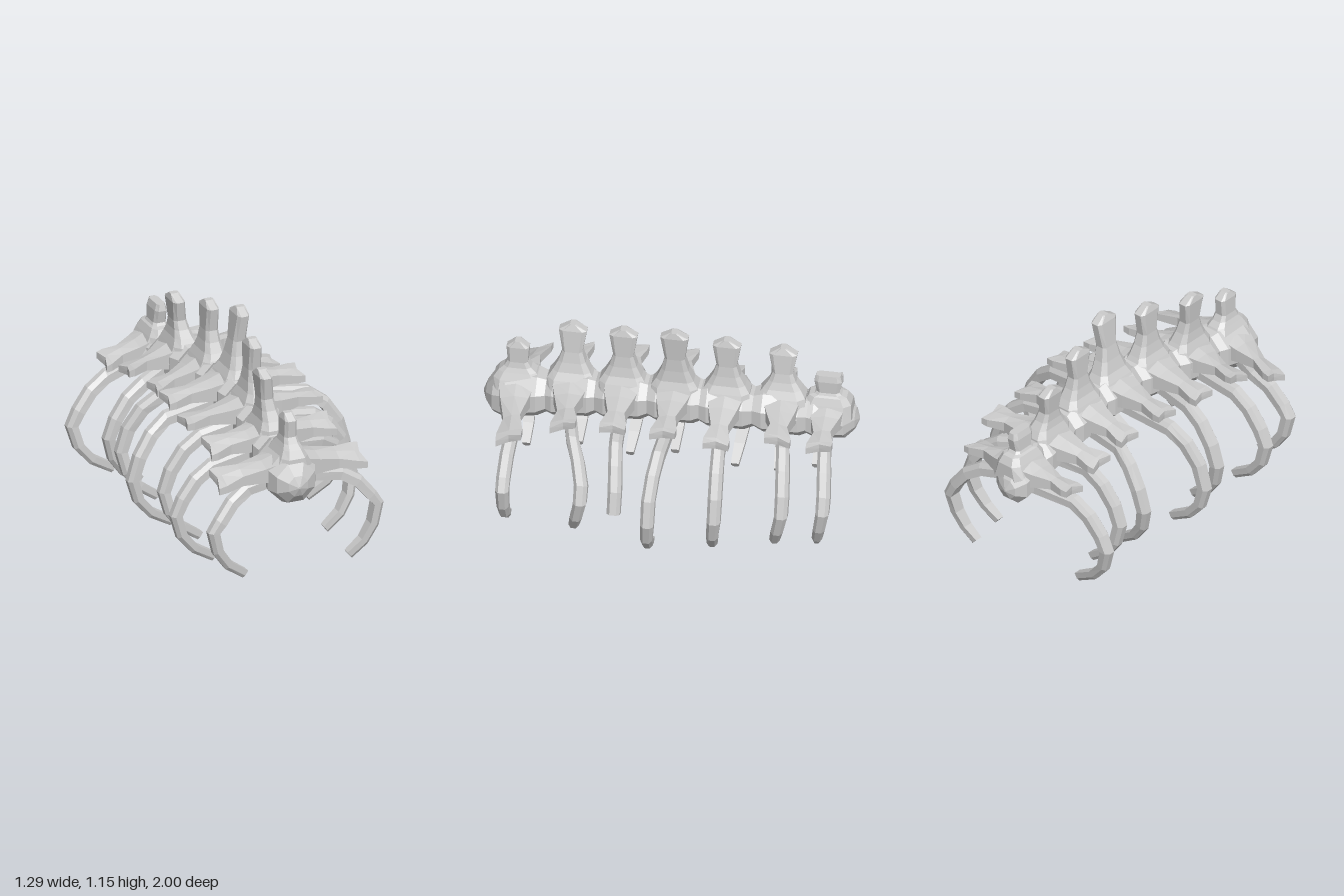
import * as THREE from 'three';

const material = new THREE.MeshStandardMaterial({ color: 0xcccccc, flatShading: true, side: THREE.DoubleSide });
const V = (x, y, z) => new THREE.Vector3(x, y, z);
const lerp = THREE.MathUtils.lerp;

// Skin between rings of points, with fan caps; faces always end up outward
function loft(name, rings, capPull = V(0, 0, 0)) {
  const pos = [];
  const tri = (a, b, c) => pos.push(...a.toArray(), ...b.toArray(), ...c.toArray());
  const n = rings[0].length;
  for (let i = 0; i < rings.length - 1; i++) {
    for (let j = 0; j < n; j++) {
      const k = (j + 1) % n;
      tri(rings[i][j], rings[i][k], rings[i + 1][k]);
      tri(rings[i][j], rings[i + 1][k], rings[i + 1][j]);
    }
  }
  const centre = (ring) => ring.reduce((s, p) => s.add(p), V(0, 0, 0)).divideScalar(n);
  const first = rings[0], last = rings[rings.length - 1];
  const c0 = centre(first), c1 = centre(last).add(capPull);
  for (let j = 0; j < n; j++) {
    const k = (j + 1) % n;
    tri(c0, first[k], first[j]);
    tri(c1, last[j], last[k]);
  }
  // Flip the winding when the signed volume is negative
  let volume = 0;
  for (let i = 0; i < pos.length; i += 9) {
    const [a, b, c] = [0, 3, 6].map((o) => V(pos[i + o], pos[i + o + 1], pos[i + o + 2]).sub(c0));
    volume += a.dot(b.cross(c));
  }
  if (volume < 0) {
    for (let i = 0; i < pos.length; i += 9) {
      for (let q = 0; q < 3; q++) [pos[i + 3 + q], pos[i + 6 + q]] = [pos[i + 6 + q], pos[i + 3 + q]];
    }
  }
  const geometry = new THREE.BufferGeometry();
  geometry.setAttribute('position', new THREE.Float32BufferAttribute(pos, 3));
  geometry.computeVertexNormals();
  const mesh = new THREE.Mesh(geometry, material);
  mesh.name = name;
  return mesh;
}

// One entry per vertebra, front to back. Sides: tip x, tip y, tip z, rib reach, rib z, foot z
const vertebrae = [
  { x: -0.07, y: 0.575, z: 0.81, top: 0.91, topX: -0.07, tilt: 0.03,
    left: [0.37, 0.575, 0.79, 0.48, 0.81, 0.81], right: [-0.47, 0.555, 0.76, 0.54, 0.82, 0.81] },
  { x: -0.05, y: 0.62, z: 0.52, top: 1.045, topX: -0.09, tilt: 0.025,
    left: [0.32, 0.655, 0.51, 0.52, 0.39, 0.45], right: [-0.41, 0.64, 0.53, 0.63, 0.54, 0.54] },
  { x: -0.02, y: 0.66, z: 0.24, top: 1.095, topX: -0.02, tilt: 0, short: true,
    left: [0.36, 0.70, 0.24, 0.58, 0.2, 0.2], right: [-0.42, 0.675, 0.24, 0.56, 0.23, 0.26] },
  { x: -0.01, y: 0.68, z: -0.04, top: 1.155, topX: 0.038, tilt: 0.01,
    left: [0.38, 0.715, -0.03, 0.65, 0.01, 0.03], right: [-0.40, 0.69, -0.03, 0.65, 0.03, 0.03] },
  { x: -0.02, y: 0.67, z: -0.31, top: 1.095, topX: -0.02, tilt: 0,
    left: [0.36, 0.665, -0.31, 0.565, -0.33, -0.30], right: [-0.36, 0.65, -0.28, 0.55, -0.34, -0.30] },
  { x: -0.05, y: 0.645, z: -0.60, top: 1.03, topX: -0.09, tilt: -0.01,
    left: [0.31, 0.695, -0.63, 0.46, -0.67, -0.61], right: [-0.40, 0.65, -0.55, 0.54, -0.52, -0.53] },
  { x: -0.09, y: 0.61, z: -0.84, top: 0.885, topX: -0.08, tilt: 0.015,
    left: [0.25, 0.63, -0.84, 0.40, -0.88, -0.83], right: [-0.42, 0.61, -0.79, 0.65, -0.75, -0.72] },
];

// Octagonal spool around the backbone axis, domed on the two outer ends
function vertebraBody(v, i) {
  const before = vertebrae[i - 1] ?? v, after = vertebrae[i + 1] ?? v;
  const slopeX = (after.x - before.x) / (after.z - before.z);
  const slopeY = (after.y - before.y) / (after.z - before.z);
  let profile = [[-0.145, 0.108], [-0.095, 0.132], [0.095, 0.132], [0.145, 0.108]];
  if (i === 0) profile = [[-0.17, 0.108], [-0.11, 0.135], [0.06, 0.148], [0.125, 0.118], [0.165, 0.06], [0.185, 0.006]];
  if (i === vertebrae.length - 1) profile = [[-0.16, 0.006], [-0.14, 0.06], [-0.09, 0.115], [0.07, 0.13], [0.125, 0.108]];
  return loft('vertebraBody', profile.map(([d, r]) => Array.from({ length: 8 }, (_, k) => {
    const a = (k + 0.5) * Math.PI / 4;
    return V(v.x + slopeX * d + r * Math.cos(a), v.y + slopeY * d + r * Math.sin(a), v.z + d);
  })));
}

// Upright blade: broad root, narrow neck, flared and peaked head
function spinousProcess(v, i) {
  const h = v.top - v.y;
  const last = i === vertebrae.length - 1;
  const headZ = i === 0 ? 0.06 : 0.074;
  const sections = [
    [0.02, 0.115, 0.13], [0.11, 0.075, 0.125], [0.15, 0.055, 0.1], [h * 0.3 + 0.075, 0.043, 0.072],
    [h * 0.62, 0.036, last ? 0.06 : 0.053], [h - 0.035, 0.034, headZ], [h, 0.024, last ? 0.065 : 0.016],
  ];
  return loft('spinousProcess', sections.map(([dy, hx, hz]) => {
    const cx = lerp(v.x, v.topX, Math.min(1, Math.max(0, (dy - 0.05) / (h - 0.05))));
    return [[1, 0.7], [0.6, 1], [-0.6, 1], [-1, 0.7], [-1, -0.7], [-0.6, -1], [0.6, -1], [1, -0.7]]
      .map(([a, b]) => V(cx + a * hx, v.y + dy, v.z + b * hz));
  }));
}

// Sideways wing with a waist and a notched, flared and slightly twisted end
function transverseProcess(v, side) {
  const [tipX, tipY, tipZ] = v[side];
  const s = Math.sign(tipX), startX = v.x + s * 0.05;
  const sections = [[0, 0.075, 0.1], [0.28, 0.052, 0.075], [0.6, 0.036, 0.045], [0.88, 0.028, 0.07], [1, 0.024, 0.068]];
  const rings = sections.map(([t, hy, hz]) =>
    [[1, 0.75], [0, 1], [-1, 0.75], [-1, -0.75], [0, -1], [1, -0.75]].map(([a, b]) => {
      const notch = t === 1 && a === 0 ? 0.02 : 0;
      const y = lerp(v.y + 0.04, tipY, t) + b * hy - a * t * v.tilt;
      return V(lerp(startX, tipX, t) - s * notch, y, lerp(v.z, tipZ, t) + a * hz);
    }));
  return loft('transverseProcess', rings, V(-s * 0.012, 0, 0));
}

// Curved rib, tapering to the foot, with a bevelled outer face
function rib(v, side) {
  const [tipX, , tipZ, reach, ribZ, footZ] = v[side];
  const s = Math.sign(tipX), k = (v.y - 0.07) / 0.61, m = reach - 0.034;
  let path = [
    V(v.x + s * 0.1, v.y - 0.03, v.z),
    V(s * (m - 0.21), 0.61 * k, lerp(tipZ, ribZ, 0.4)),
    V(s * (m - 0.115), 0.54 * k, lerp(tipZ, ribZ, 0.75)),
    V(s * (m - 0.04), 0.43 * k, ribZ),
    V(s * m, 0.3, ribZ),
    V(s * m * 0.945, 0.185, lerp(ribZ, footZ, 0.4)),
    V(s * m * 0.82, 0.095, lerp(ribZ, footZ, 0.75)),
    V(s * m * 0.63, 0.028, footZ),
  ];
  if (v.short && side === 'left') path = path.slice(0, 5);
  const depth = [0.035, 0.035, 0.036, 0.036, 0.035, 0.032, 0.028, 0.021];
  const rings = path.map((p, i) => {
    const along = path[Math.min(i + 1, path.length - 1)].clone().sub(path[Math.max(i - 1, 0)]);
    const out = V(-along.y, along.x, 0).normalize().multiplyScalar(s);
    const thick = lerp(0.036, 0.024, i / 7);
    return [[-1, -1], [1, -1], [1, 0.3], [0.5, 1], [-0.5, 1], [-1, 0.3]].map(([a, b]) =>
      p.clone().addScaledVector(out, b * thick).add(V(0, 0, a * depth[i])));
  });
  return loft('rib', rings);
}

export function createModel() {
  const model = new THREE.Group();
  model.name = 'ribcage';
  vertebrae.forEach((v, i) => {
    const segment = new THREE.Group();
    segment.name = `vertebra${i + 1}`;
    segment.add(vertebraBody(v, i), spinousProcess(v, i));
    for (const side of ['left', 'right']) segment.add(transverseProcess(v, side), rib(v, side));
    model.add(segment);
  });
  return model;
}
